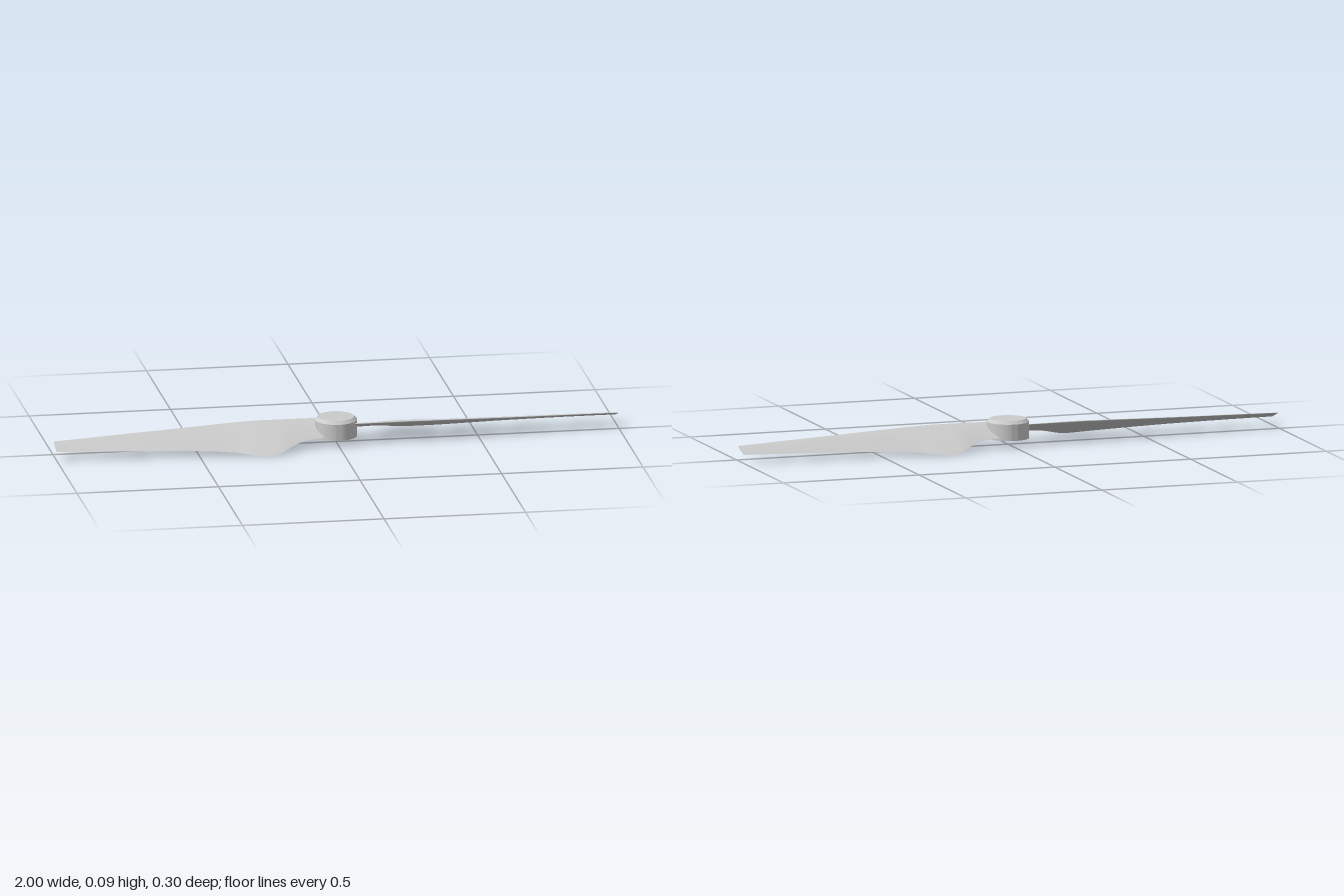
import * as THREE from 'three';
import { toCreasedNormals } from 'three/addons/utils/BufferGeometryUtils.js';

const material = new THREE.MeshStandardMaterial({ color: 0xcccccc });

// Blade stations: x, leading edge z, leading edge y, trailing edge z, trailing edge y
const STATIONS = [
  [0.05, 0.05, 0.077, -0.058, 0.036],
  [0.10, 0.05, 0.077, -0.068, 0.034],
  [0.15, 0.05, 0.077, -0.092, 0.028],
  [0.20, 0.05, 0.077, -0.130, 0.015],
  [0.23, 0.05, 0.077, -0.146, 0.007],
  [0.27, 0.05, 0.077, -0.152, 0.003],
  [0.31, 0.049, 0.076, -0.143, 0.006],
  [0.36, 0.045, 0.075, -0.122, 0.012],
  [0.45, 0.037, 0.072, -0.107, 0.018],
  [0.60, 0.023, 0.067, -0.098, 0.024],
  [0.80, 0.003, 0.061, -0.088, 0.029],
  [1.00, -0.017, 0.055, -0.075, 0.033],
];

// Lofted, cambered airfoil blade running along +x
function bladeGeometry() {
  const edge = (zi, yi) =>
    new THREE.CatmullRomCurve3(STATIONS.map((s) => new THREE.Vector3(s[0], s[yi], s[zi])));
  const lead = edge(1, 2), trail = edge(3, 4);
  const half = 12, ring = 2 * half + 1, steps = (STATIONS.length - 1) * 5;
  const positions = [], index = [];

  for (let i = 0; i <= steps; i++) {
    const L = lead.getPoint(i / steps), T = trail.getPoint(i / steps);
    const chord = Math.hypot(T.z - L.z, T.y - L.y);
    // Ring runs from the trailing edge, underneath, round the nose and back on top
    for (let j = 0; j < ring; j++) {
      const a = (j / (ring - 1)) * Math.PI * 2;
      const t = (1 + Math.cos(a)) / 2;
      const side = j <= half ? -1 : 1;
      const thickness = chord * 0.105 * Math.sqrt(t) * (1 - t);
      const camber = chord * 0.1 * t * (1 - t);
      const lift = camber + side * thickness;
      positions.push(
        L.x,
        L.y + (T.y - L.y) * t + lift * (L.z - T.z) / chord,
        L.z + (T.z - L.z) * t + lift * (T.y - L.y) / chord * -1,
      );
    }
  }
  for (let i = 0; i < steps; i++) {
    for (let j = 0; j < ring - 1; j++) {
      const a = i * ring + j, b = a + ring;
      index.push(a, b, a + 1, b, b + 1, a + 1);
    }
  }
  // Flat tip with its own vertices for a crisp edge
  const tip = positions.length / 3;
  positions.push(...positions.slice(-ring * 3));
  for (let j = 0; j < half; j++) {
    const low = tip + j, high = tip + ring - 1 - j;
    index.push(low, high, low + 1, high, high - 1, low + 1);
  }
  const geometry = new THREE.BufferGeometry();
  geometry.setAttribute('position', new THREE.Float32BufferAttribute(positions, 3));
  geometry.setIndex(index);
  geometry.computeVertexNormals();
  return geometry;
}

// Chamfered hub, hollow from below
function hubGeometry() {
  const profile = [
    [0, 0.08], [0.054, 0.08], [0.054, 0.026], [0.074, 0.026],
    [0.074, 0.084], [0.063, 0.095], [0, 0.095],
  ].map(([r, y]) => new THREE.Vector2(r, y));
  return toCreasedNormals(new THREE.LatheGeometry(profile, 64), 0.5);
}

export function createModel() {
  const group = new THREE.Group();
  group.name = 'propeller';

  const hub = new THREE.Mesh(hubGeometry(), material);
  hub.name = 'hub';
  group.add(hub);

  // Two identical blades, half a turn apart
  const geometry = bladeGeometry();
  ['leftBlade', 'rightBlade'].forEach((name, i) => {
    const blade = new THREE.Mesh(geometry, material);
    blade.name = name;
    blade.rotation.y = i * Math.PI;
    group.add(blade);
  });
  return group;
}
